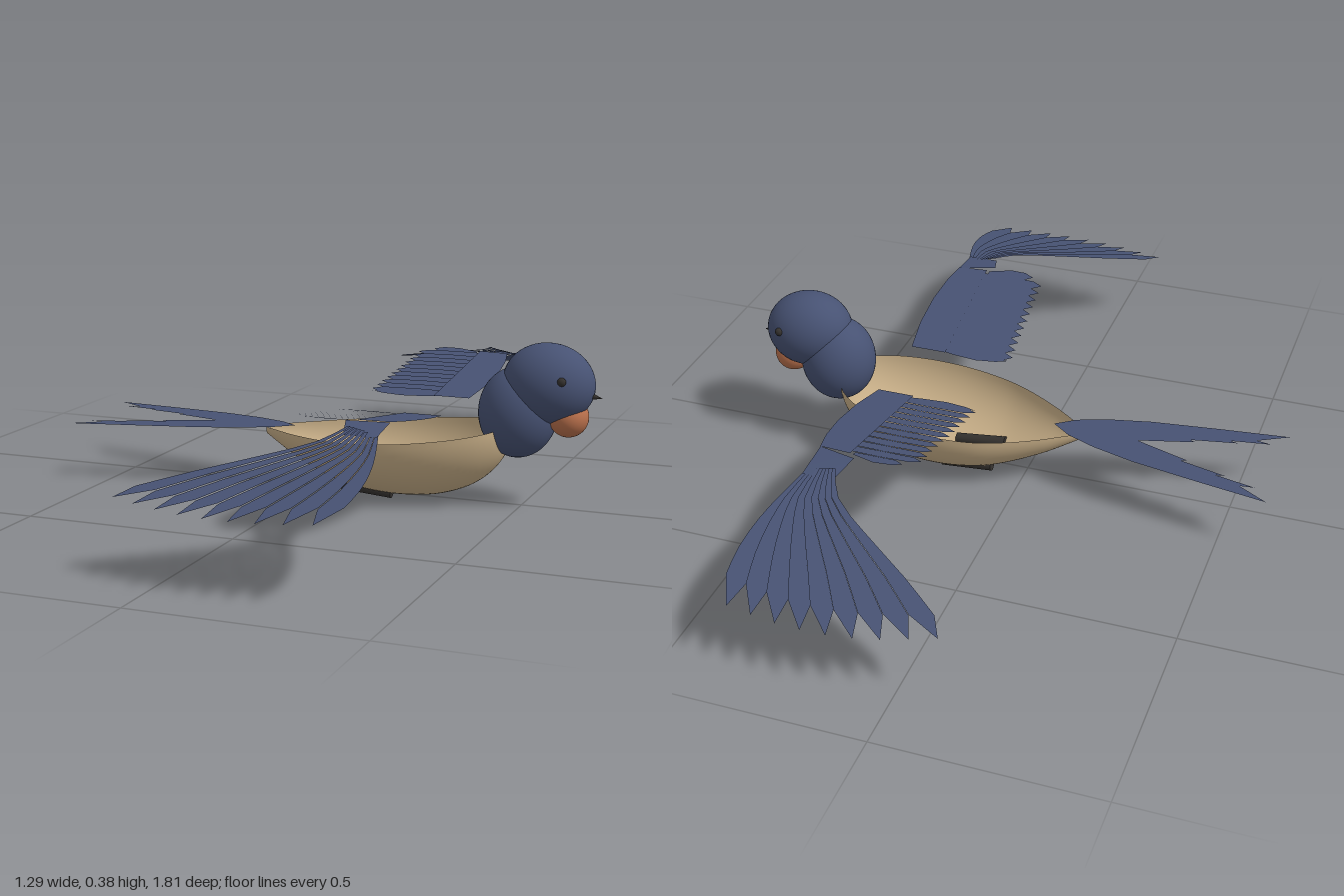
import * as THREE from 'three';

const mat = (name, color, side = THREE.FrontSide) => {
  const m = new THREE.MeshStandardMaterial({ color, side });
  m.name = name;
  return m;
};
const blue = mat('slate blue', 0x475273);
const feather = mat('feather blue', 0x475273, THREE.DoubleSide);
const tan = mat('belly tan', 0xc8af88, THREE.DoubleSide);
const orange = mat('throat orange', 0xb9704c);
const dark = mat('dark grey', 0x35322f);

function add(parent, name, geo, material) {
  const m = new THREE.Mesh(geo, material);
  m.name = name;
  parent.add(m);
  return m;
}

function ellipsoid(parent, name, material, center, radii, tilt = 0) {
  const m = add(parent, name, new THREE.SphereGeometry(1, 40, 28), material);
  m.position.set(...center);
  m.scale.set(...radii);
  m.rotation.z = tilt;
  return m;
}

// Open boat-shaped belly: half-ellipse sections along x
function bellyGeometry() {
  // x, rim height, lowest height, half width
  const stations = [
    [-0.135, 0.134, 0.115, 0.012], [-0.09, 0.136, 0.089, 0.045], [-0.05, 0.137, 0.068, 0.073],
    [0.03, 0.14, 0.034, 0.118], [0.1, 0.143, 0.013, 0.145], [0.2, 0.15, 0.003, 0.16],
    [0.3, 0.16, 0.01, 0.152], [0.38, 0.17, 0.037, 0.127], [0.43, 0.178, 0.075, 0.096],
    [0.46, 0.184, 0.12, 0.058], [0.47, 0.188, 0.18, 0.012]];
  const spine = new THREE.CatmullRomCurve3(stations.map(s => new THREE.Vector3(s[0], s[1], s[2])));
  const width = new THREE.CatmullRomCurve3(stations.map(s => new THREE.Vector3(s[0], s[3], 0)));
  const rows = 50, cols = 32, pos = [], idx = [];
  for (let i = 0; i <= rows; i++) {
    const p = spine.getPoint(i / rows), w = width.getPoint(i / rows).y;
    for (let j = 0; j <= cols; j++) {
      const a = Math.PI * j / cols;
      pos.push(p.x, p.y - (p.y - p.z) * Math.sin(a), w * Math.cos(a));
      if (i < rows && j < cols) {
        const k = i * (cols + 1) + j, n = k + cols + 1;
        idx.push(k, k + 1, n, k + 1, n + 1, n);
      }
    }
  }
  const g = new THREE.BufferGeometry();
  g.setAttribute('position', new THREE.Float32BufferAttribute(pos, 3));
  g.setIndex(idx);
  g.computeVertexNormals();
  return g;
}

// Flat plate from [x, z] points, lifted by a height rule; side mirrors z
function plate(points, side, height) {
  const g = new THREE.ShapeGeometry(new THREE.Shape(points.map(p => new THREE.Vector2(p[0], p[1]))));
  const p = g.attributes.position;
  for (let i = 0; i < p.count; i++) {
    const x = p.getX(i), z = p.getY(i);
    p.setXYZ(i, x, height(x, z), side * z);
  }
  if (side > 0) { // keep the front face upward
    const a = g.index.array;
    for (let i = 0; i < a.length; i += 3) [a[i], a[i + 1]] = [a[i + 1], a[i]];
  }
  g.computeVertexNormals();
  return g;
}

// Wing rises to the wrist, then falls to the tip
const wingY = z => z < 0.46 ? 0.215 + (z - 0.11) * 0.157 : 0.27 - (z - 0.46) * 0.237;

function wing(side) {
  const g = new THREE.Group();
  g.name = side > 0 ? 'leftWing' : 'rightWing';

  // Arm plate along the leading edge
  add(g, 'armPlate', plate([[0.25, 0.105], [0.338, 0.105], [0.352, 0.2], [0.355, 0.3], [0.348, 0.38],
    [0.335, 0.44], [0.262, 0.445]], side, (x, z) => wingY(z) + 0.003), feather);

  // Secondary feathers with a serrated trailing edge
  const n = 12, z0 = 0.115, dz = 0.345 / n;
  for (let i = 0; i < n; i++) {
    const a = z0 + i * dz, b = a + dz, u = (i + 0.5) / n;
    const back = 0.095 + 0.025 * u + (i === n - 1 ? 0.03 : 0);
    const lead = i === n - 1 ? 0.255 : 0.29;
    const pts = [[lead, a], [lead, b - (i === n - 1 ? 0.015 : 0)], [0.2, b + 0.003],
      [back + 0.012, b], [back - 0.012, a + dz * 0.55], [back + 0.012, a]];
    add(g, 'secondaryFeather', plate(pts, side, (x, z) => wingY(z) + (z - a) * 0.07), feather);
  }
  // Rounded feather at the shoulder
  add(g, 'shoulderFeather', plate([[0.29, 0.118], [0.09, 0.118], [0.12, 0.107], [0.17, 0.1], [0.23, 0.106]],
    side, (x, z) => wingY(z)), feather);

  // Wrist
  add(g, 'wrist', plate([[0.245, 0.462], [0.335, 0.438], [0.338, 0.53], [0.265, 0.53]],
    side, (x, z) => wingY(z) + 0.002), feather);

  // Fan of primary feathers between two curved edges
  const curve = pts => new THREE.CatmullRomCurve3(pts.map(p => new THREE.Vector3(p[0], 0, p[1])));
  const rear = curve([[0.268, 0.51], [0.23, 0.582], [0.135, 0.655], [0.02, 0.732], [-0.07, 0.80]]);
  const front = curve([[0.335, 0.51], [0.362, 0.6], [0.378, 0.67], [0.386, 0.75], [0.381, 0.82]]);
  const at = (u, t) => {
    const p = rear.getPoint(t).lerp(front.getPoint(t), u);
    return [p.x, p.z + 0.035 * Math.sin(Math.PI * u) * t * t];
  };
  const count = 9;
  for (let i = 0; i < count; i++) {
    const u0 = i / count, u1 = (i + 1) / count, um = (u0 + u1) / 2, pts = [];
    for (let k = 0; k <= 8; k++) pts.push(at(u0, k / 8));
    const e = at(um, 1), b = at(um, 0.85);
    const len = Math.hypot(e[0] - b[0], e[1] - b[1]);
    pts.push([e[0] + (e[0] - b[0]) / len * 0.067, e[1] + (e[1] - b[1]) / len * 0.067]);
    for (let k = 8; k >= 0; k--) pts.push(at(u1, k / 8));
    const mid = at(um, 0.7)[0];
    add(g, 'primaryFeather', plate(pts, side, (x, z) => wingY(z) + (x - mid) * 0.06), feather);
  }
  return g;
}

export function createModel() {
  const bird = new THREE.Group();
  bird.name = 'bird';

  add(bird, 'belly', bellyGeometry(), tan);

  // Neck, head and throat
  ellipsoid(bird, 'neck', blue, [0.487, 0.217, 0], [0.091, 0.105, 0.087]);
  ellipsoid(bird, 'head', blue, [0.558, 0.288, 0], [0.106, 0.092, 0.086], -0.12);
  ellipsoid(bird, 'throat', orange, [0.605, 0.214, 0], [0.046, 0.046, 0.048]);

  // Beak
  const beak = add(bird, 'beak', new THREE.ConeGeometry(0.014, 0.045, 16), dark);
  beak.position.set(0.659, 0.265, 0);
  beak.rotation.z = -Math.PI / 2 - 0.15;

  for (const s of [1, -1]) {
    ellipsoid(bird, s > 0 ? 'leftEye' : 'rightEye', dark, [0.605, 0.307, s * 0.074], [0.01, 0.01, 0.008]);

    // Tucked leg lying along the belly floor
    const leg = add(bird, s > 0 ? 'leftLeg' : 'rightLeg', new THREE.CylinderGeometry(0.013, 0.015, 0.127, 16), dark);
    leg.position.set(0.138, 0.018, s * 0.05);
    leg.rotation.set(0, 0, -Math.PI / 2 - 0.1);

    bird.add(wing(s));

    // Half of the forked tail, with stepped feather ends inside the fork
    add(bird, s > 0 ? 'leftTail' : 'rightTail', plate([[-0.065, 0], [-0.11, 0.034], [-0.18, 0.062], [-0.28, 0.088],
      [-0.44, 0.114], [-0.605, 0.138], [-0.535, 0.097], [-0.57, 0.092], [-0.475, 0.074], [-0.495, 0.07],
      [-0.385, 0.045], [-0.4, 0.04], [-0.27, 0]], s, x => 0.142 + x * 0.018), feather);
  }
  return bird;
}
